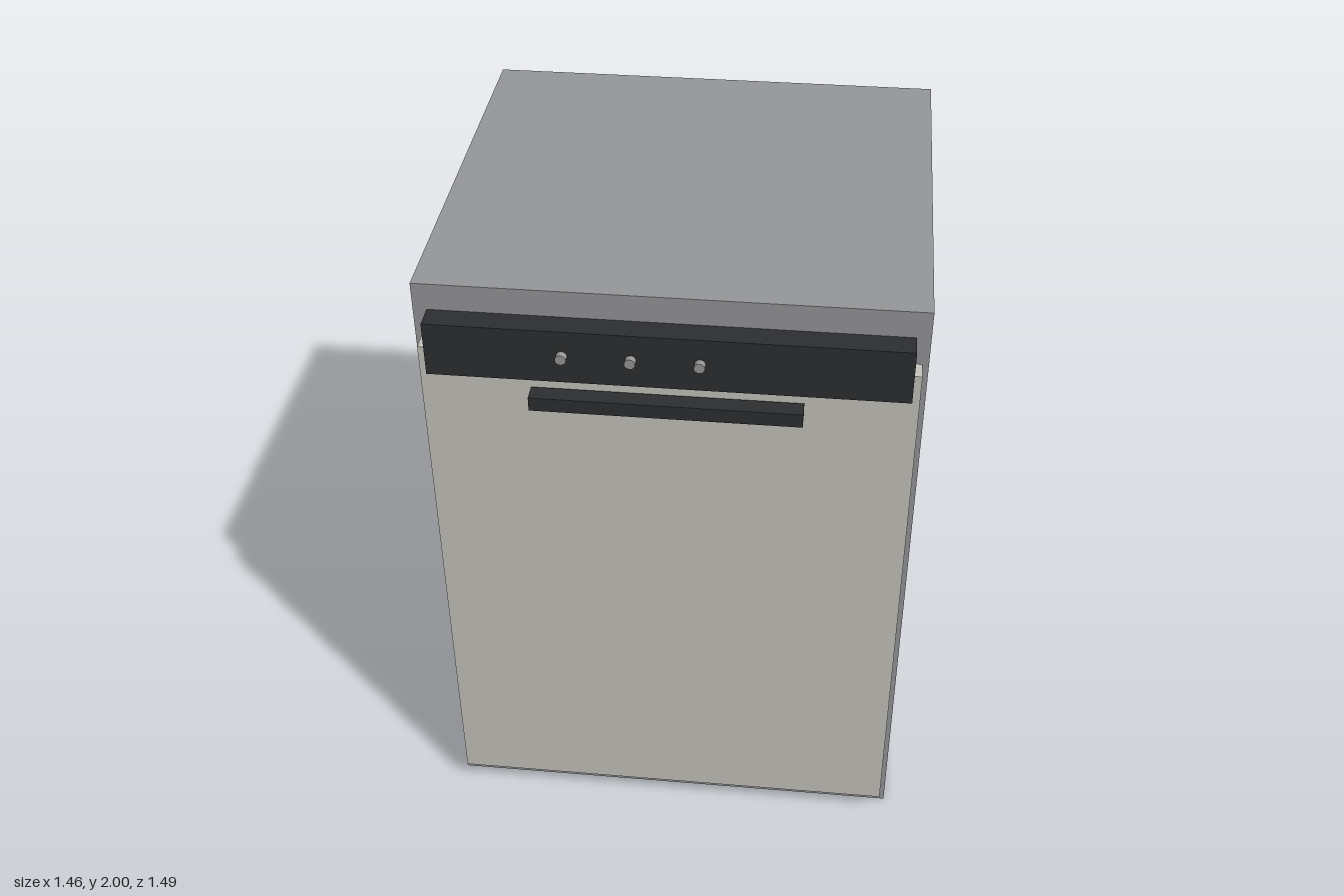
import * as THREE from 'three';

const material = (color) => new THREE.MeshStandardMaterial({ color });

// Box given by its extents along each axis
function box(name, [x0, x1], [y0, y1], [z0, z1], mat) {
  const mesh = new THREE.Mesh(new THREE.BoxGeometry(x1 - x0, y1 - y0, z1 - z0), mat);
  mesh.position.set((x0 + x1) / 2, (y0 + y1) / 2, (z0 + z1) / 2);
  mesh.name = name;
  return mesh;
}

export function createModel() {
  const group = new THREE.Group();
  group.name = 'dishwasher';
  const steel = material(0x97989a);
  const panel = material(0xc9c6be);
  const black = material(0x2d2f31);
  const knobGrey = material(0x999999);

  // Cabinet, door, control strip and handle bar
  group.add(
    box('cabinet', [-0.728, 0.728], [0, 2], [-0.743, 0.622], steel),
    box('door', [-0.71, 0.71], [0.077, 1.828], [0.622, 0.682], panel),
    box('controlPanel', [-0.688, 0.688], [1.746, 1.916], [0.622, 0.697], black),
    box('handle', [-0.389, 0.389], [1.673, 1.717], [0.689, 0.743], black),
  );

  // Row of three round buttons facing forward
  const buttonGeometry = new THREE.CylinderGeometry(0.016, 0.016, 0.03, 16).rotateX(Math.PI / 2);
  for (let i = 0; i < 3; i++) {
    const button = new THREE.Mesh(buttonGeometry, knobGrey);
    button.name = `button${i + 1}`;
    button.position.set(-0.295 + i * 0.195, 1.835, 0.703);
    group.add(button);
  }
  return group;
}
